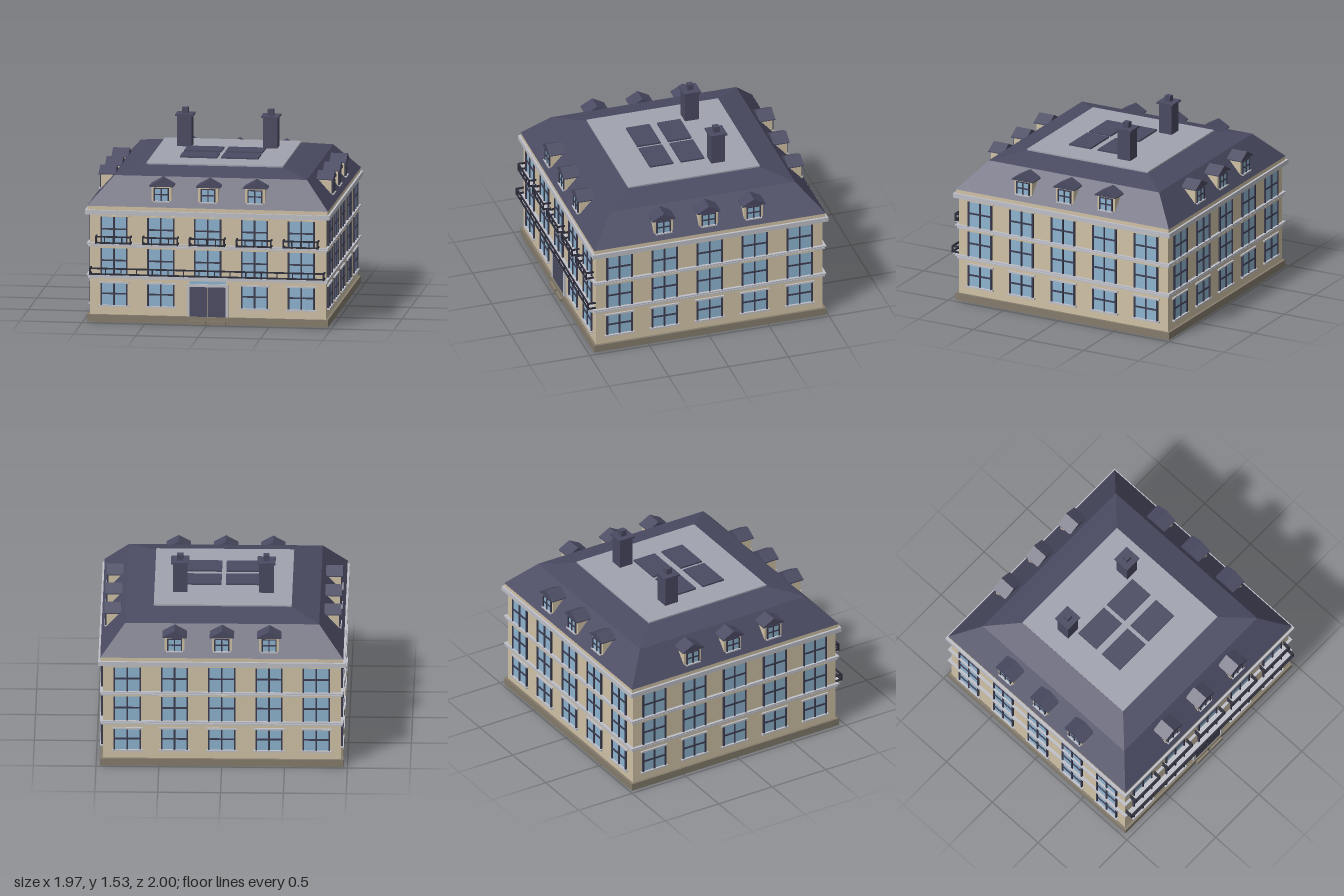
import * as THREE from 'three';

const mat = (name, color) => {
  const m = new THREE.MeshStandardMaterial({ color });
  m.name = name;
  return m;
};

export function createModel() {
  const wallMat = mat('cream stone', 0xd0c2a6);
  const plinthMat = mat('dark stone', 0x857c6c);
  const trimMat = mat('pale trim', 0xbfc0c8);
  const slateMat = mat('slate', 0x4a4a62);
  const deckMat = mat('roof deck', 0xa0a3b0);
  const glassMat = mat('glass', 0x8db4d0);
  const frameMat = mat('window frame', 0x3c3c50);
  const ironMat = mat('iron', 0x2c2c3a);
  slateMat.flatShading = true;

  const model = new THREE.Group();
  model.name = 'townHouse';
  const house = new THREE.Group();
  house.name = 'house';
  house.position.z = -0.015;
  model.add(house);

  const W = 0.947; // half width of the walls
  const pitch = 0.376; // spacing of the window bays

  // Box given by its extents on each axis
  const box = (parent, name, m, x0, x1, y0, y1, z0, z1) => {
    const mesh = new THREE.Mesh(new THREE.BoxGeometry(x1 - x0, y1 - y0, z1 - z0), m);
    mesh.position.set((x0 + x1) / 2, (y0 + y1) / 2, (z0 + z1) / 2);
    mesh.name = name;
    parent.add(mesh);
    return mesh;
  };
  const slab = (name, m, half, y0, y1) => box(house, name, m, -half, half, y0, y1, -half, half);

  // Square storeys, bands and cornice
  slab('plinth', plinthMat, 0.967, 0, 0.06);
  slab('walls', wallMat, W, 0.06, 0.9);
  for (const y of [0.353, 0.606]) {
    slab('lowerStringCourse', trimMat, 0.96, y, y + 0.013);
    slab('upperStringCourse', trimMat, 0.97, y + 0.022, y + 0.034);
  }
  slab('cornice', trimMat, 0.983, 0.87, 0.907);
  slab('eavesBand', wallMat, 0.965, 0.907, 0.938);

  // Mansard roof in two slopes, with a flat deck
  const slope = (name, low, high, y0, y1) => {
    const g = new THREE.CylinderGeometry(high * Math.SQRT2, low * Math.SQRT2, y1 - y0, 4, 1);
    g.rotateY(Math.PI / 4);
    const mesh = new THREE.Mesh(g, slateMat);
    mesh.position.y = (y0 + y1) / 2;
    mesh.name = name;
    house.add(mesh);
  };
  slope('lowerRoof', 0.967, 0.772, 0.938, 1.155);
  slope('upperRoof', 0.772, 0.55, 1.155, 1.207);
  slab('roofDeck', deckMat, 0.549, 1.2, 1.219);

  // Glazing with frame bars, facing +z
  const glazing = (parent, cx, w, y0, y1, z, bar, depth) => {
    const g = new THREE.Group();
    g.name = 'window';
    g.position.x = cx;
    parent.add(g);
    const h = w / 2;
    const ym = y0 + (y1 - y0) * 0.53;
    box(g, 'glass', glassMat, -h, h, y0, y1, z, z + 0.005);
    for (const x of [-h, 0, h])
      box(g, 'upright', frameMat, x - bar / 2, x + bar / 2, y0, y1, z, z + depth);
    box(g, 'crossbar', frameMat, -h, h, ym - bar / 2, ym + bar / 2, z, z + depth * 0.9);
    return g;
  };

  const dormer = (parent, cx) => {
    const g = new THREE.Group();
    g.name = 'dormer';
    g.position.x = cx;
    parent.add(g);
    box(g, 'dormerBody', wallMat, -0.08, 0.08, 0.945, 1.105, 0.78, 0.925);
    const win = glazing(g, 0, 0.11, 0.985, 1.083, 0.925, 0.01, 0.012);
    box(win, 'frameTop', frameMat, -0.06, 0.06, 1.083, 1.09, 0.925, 0.935);
    box(win, 'sill', trimMat, -0.068, 0.068, 0.976, 0.986, 0.925, 0.944);
    const gable = new THREE.Shape([
      new THREE.Vector2(-0.097, 1.1), new THREE.Vector2(0.097, 1.1),
      new THREE.Vector2(0.097, 1.108), new THREE.Vector2(0, 1.162), new THREE.Vector2(-0.097, 1.108),
    ]);
    const roof = new THREE.Mesh(
      new THREE.ExtrudeGeometry(gable, { depth: 0.135, bevelEnabled: false }), slateMat);
    roof.position.z = 0.807;
    roof.name = 'dormerRoof';
    g.add(roof);
  };

  // Four matching facades; the front has the door in its middle bay
  const floors = [[0.138, 0.313], [0.388, 0.598], [0.641, 0.852]];
  ['front', 'left', 'back', 'right'].forEach((side, k) => {
    const f = new THREE.Group();
    f.name = side + 'Facade';
    f.rotation.y = k * Math.PI / 2;
    house.add(f);
    for (let i = -2; i <= 2; i++) {
      floors.forEach(([y0, y1], n) => {
        if (side === 'front' && n === 0 && i === 0) return;
        const win = glazing(f, i * pitch, 0.205, y0, y1, W, 0.012, 0.015);
        box(win, 'lintel', n ? wallMat : trimMat, -0.122, 0.122, y1, y1 + 0.013, W, W + 0.014);
        if (n === 0) box(win, 'sill', trimMat, -0.122, 0.122, y0 - 0.013, y0, W, W + 0.023);
      });
      if (Math.abs(i) < 2) dormer(f, i * pitch);
    }
  });

  // Entrance with double door, transom light and steps
  const door = new THREE.Group();
  door.name = 'entrance';
  house.add(door);
  for (const s of [-1, 1]) {
    const x = s * 0.074;
    box(door, 'doorLeaf', slateMat, x - 0.072, x + 0.072, 0.06, 0.302, W, W + 0.01);
    box(door, 'doorJamb', trimMat, s * 0.155 - 0.01, s * 0.155 + 0.01, 0.06, 0.325, W, W + 0.018);
    box(door, 'step', plinthMat, s * 0.079 - 0.066, s * 0.079 + 0.066, 0, 0.03, 0.95, 0.988);
  }
  box(door, 'doorLintel', trimMat, -0.165, 0.165, 0.302, 0.325, W, W + 0.018);
  box(door, 'transomLight', glassMat, -0.147, 0.147, 0.325, 0.348, W, W + 0.008);

  // Iron balconies on the front
  const balcony = (cx, half, y, height, posts) => {
    const g = new THREE.Group();
    g.name = 'balcony';
    g.position.x = cx;
    house.add(g);
    const z = 1.009, t = 0.006;
    box(g, 'balconyFloor', trimMat, -half, half, y - 0.012, y, W, z);
    for (const ry of [y + 0.008, y + height - 0.006]) {
      box(g, 'frontRail', ironMat, -half, half, ry - t, ry + t, z - t, z + t);
      for (const s of [-1, 1])
        box(g, 'sideRail', ironMat, s * half - t, s * half + t, ry - t, ry + t, W, z);
    }
    for (let i = 0; i < posts; i++) {
      const x = -half + (2 * half * i) / (posts - 1);
      const r = i % (posts - 1) ? 0.004 : t;
      box(g, 'post', ironMat, x - r, x + r, y, y + height, z - r, z + r);
    }
  };
  balcony(0, 0.938, 0.387, 0.06, 16);
  for (let i = -2; i <= 2; i++) balcony(i * pitch, 0.138, 0.64, 0.064, 5);

  // Chimneys and rooftop panels
  for (const s of [-1, 1]) {
    const chimney = new THREE.Group();
    chimney.name = 'chimney';
    chimney.position.set(s * 0.344, 0, -0.248);
    house.add(chimney);
    const part = (name, h, y0, y1) => box(chimney, name, slateMat, -h, h, y0, y1, -h, h);
    part('shaft', 0.058, 1.2, 1.465);
    part('cap', 0.072, 1.465, 1.479);
    part('pot', 0.024, 1.479, 1.527);
    for (const z of [-0.062, 0.196])
      box(house, 'roofPanel', slateMat, s * 0.166 - 0.149, s * 0.166 + 0.149, 1.215, 1.232, z - 0.098, z + 0.098);
  }
  return model;
}
